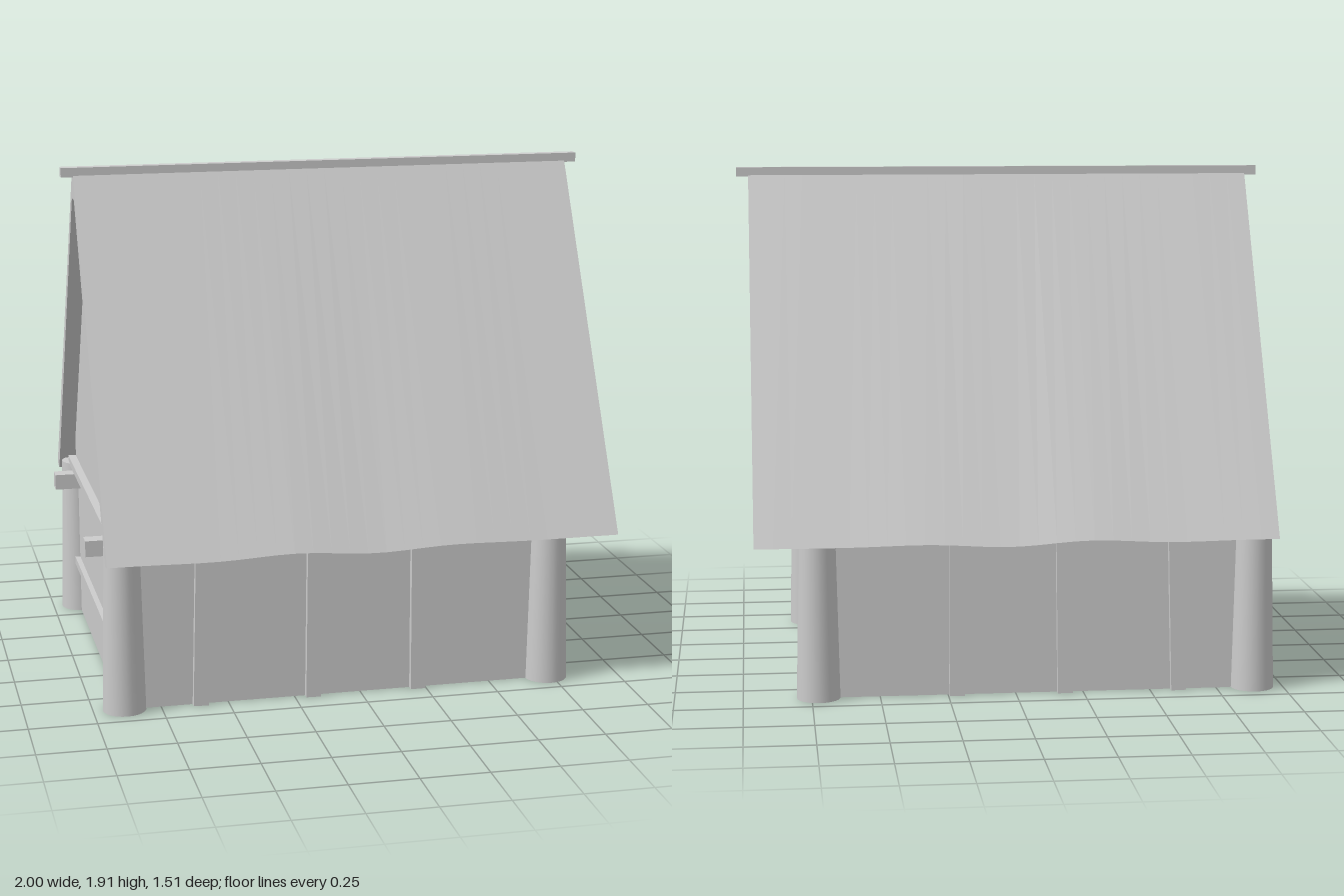
import * as THREE from 'three';

const material = new THREE.MeshStandardMaterial({ color: 0xcccccc, side: THREE.DoubleSide });

export function createModel() {
  const house = new THREE.Group();
  house.name = 'timberHouse';

  const add = (name, geometry) => {
    const mesh = new THREE.Mesh(geometry, material);
    mesh.name = name;
    house.add(mesh);
    return mesh;
  };

  // Box given by its limits on each axis
  const box = (name, x0, x1, y0, y1, z0, z1) => {
    const mesh = add(name, new THREE.BoxGeometry(x1 - x0, y1 - y0, z1 - z0));
    mesh.position.set((x0 + x1) / 2, (y0 + y1) / 2, (z0 + z1) / 2);
    return mesh;
  };

  // The same box on both sides of z = 0
  const pair = (name, x0, x1, y0, y1, z0, z1) => {
    box(name, x0, x1, y0, y1, z0, z1);
    box(name, x0, x1, y0, y1, -z1, -z0);
  };

  // Cross-section in (z, y) swept along x
  const sweep = (points, x0, x1, steps = 1) => {
    const shape = new THREE.Shape(points.map(([z, y]) => new THREE.Vector2(-z, y)));
    const geometry = new THREE.ExtrudeGeometry(shape, { depth: x1 - x0, steps, bevelEnabled: false });
    return geometry.rotateY(Math.PI / 2).translate(x0, 0, 0);
  };

  // Roof: steep double slope with slightly uneven eaves
  const half = [[0.70, 0.572], [0.755, 0.582], [0.02, 1.88]];
  const inner = [[-0.03, 1.79], [0.03, 1.79]];
  const mirrored = half.map(([z, y]) => [-z, y]).reverse();
  const roof = sweep([...half, ...mirrored, ...inner], -0.955, 0.955, 28);
  const p = roof.attributes.position;
  for (let i = 0; i < p.count; i++) {
    if (p.getY(i) > 0.7) continue;
    const x = p.getX(i);
    p.setY(i, p.getY(i) - 0.01 * Math.sin(9 * (x + 0.12)) * Math.exp(-4 * (x + 0.1) ** 2));
  }
  roof.computeVertexNormals();
  add('roof', roof);
  box('ridgeBeam', -1, 1, 1.875, 1.91, -0.02, 0.02);

  // Gable end walls
  const gable = [[-0.62, 0], [0.62, 0], [0.62, 0.735], [0.03, 1.8], [-0.03, 1.8], [-0.62, 0.735]];
  add('doorGableWall', sweep(gable, 0.70, 0.725));
  add('plainGableWall', sweep(gable, -0.895, -0.87));

  // Long side walls with slightly leaning studs
  pair('sideWall', -0.88, 0.72, 0, 0.7, 0.605, 0.63);
  for (const side of [-1, 1]) {
    for (const [x, lean] of [[-0.597, -0.025], [-0.178, -0.012], [0.218, 0]]) {
      const stud = box('sideStud', x - 0.028, x + 0.028, 0, 0.66, side * 0.635 - 0.02, side * 0.635 + 0.02);
      stud.rotation.z = lean;
    }
  }

  // Tapered corner columns, with short beams beside them
  for (const x of [-0.885, 0.725]) {
    for (const z of [-0.625, 0.625]) {
      const column = add('cornerColumn', new THREE.CylinderGeometry(0.066, 0.08, 0.62, 24));
      column.position.set(x, 0.31, z);
    }
  }
  pair('beamEnd', -1, -0.68, 0.55, 0.61, 0.44, 0.5);
  pair('beamEnd', 0.61, 0.93, 0.55, 0.61, 0.44, 0.5);

  // Plain gable rails
  box('upperRail', -0.925, -0.89, 0.61, 0.64, -0.63, 0.63);
  box('lowerRail', -0.915, -0.89, 0.2, 0.23, -0.6, 0.6);

  // Door gable, upper part: sill, king post, collar beam and thin framing
  box('sillBeam', 0.80, 0.85, 0.61, 0.635, -0.63, 0.63);
  box('kingPost', 0.72, 0.85, 0.635, 1.345, -0.03, 0.03);
  box('collarBeam', 0.72, 0.87, 1.345, 1.385, -0.275, 0.275);
  box('gableRail', 0.72, 0.745, 0.972, 0.99, -0.475, 0.475);
  pair('gableStud', 0.72, 0.745, 0.61, 0.972, 0.28, 0.295);

  // Door gable, lower part: door, frame and side panels
  box('door', 0.72, 0.732, 0, 0.55, -0.22, 0.22);
  pair('doorJamb', 0.72, 0.75, 0, 0.58, 0.22, 0.25);
  box('doorLintel', 0.72, 0.75, 0.55, 0.58, -0.22, 0.22);
  pair('panelTopRail', 0.72, 0.745, 0.518, 0.545, 0.25, 0.58);
  pair('panelBottomRail', 0.72, 0.745, 0.148, 0.178, 0.25, 0.58);
  pair('panelPost', 0.72, 0.745, 0.178, 0.518, 0.343, 0.367);

  return house;
}
